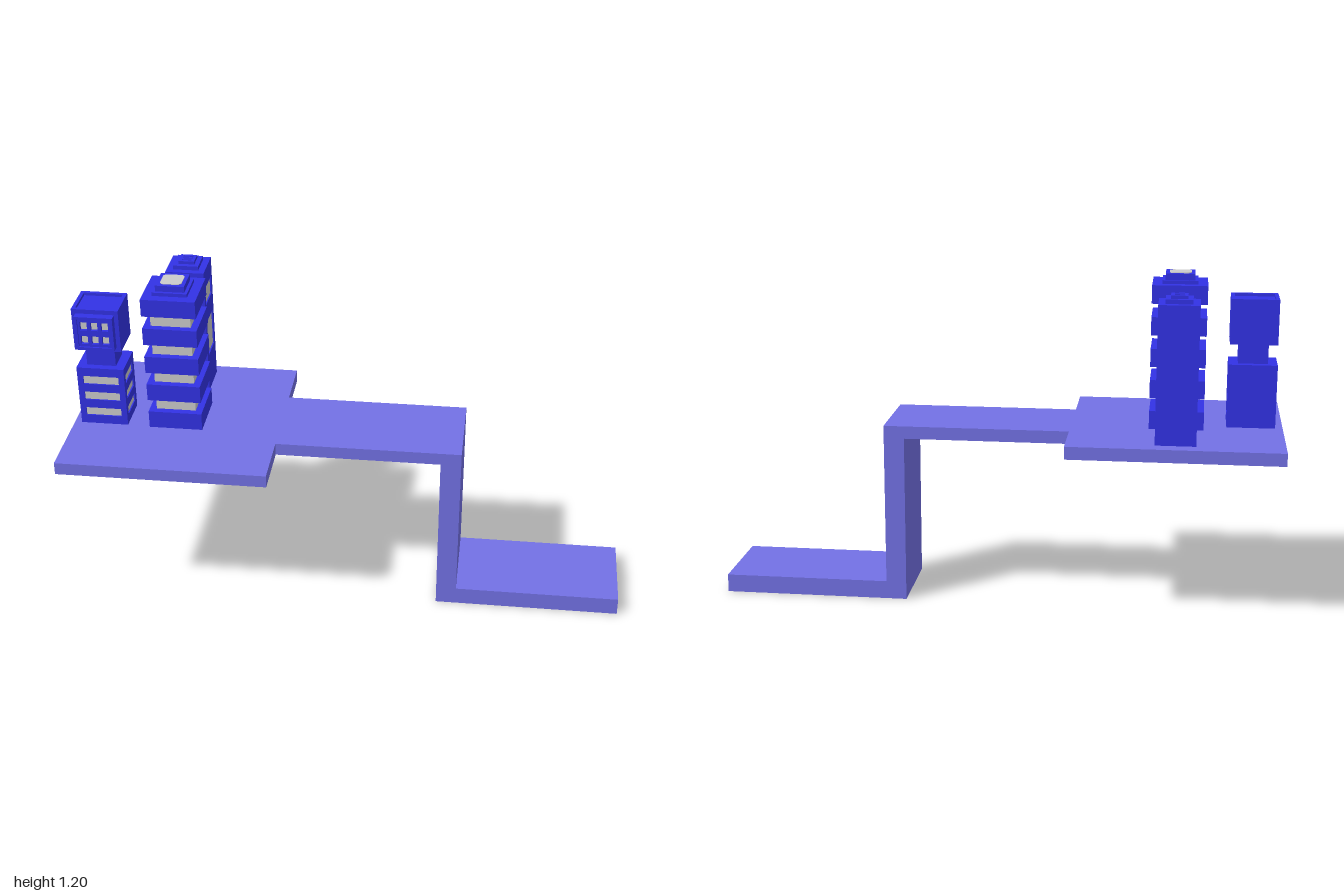
import * as THREE from 'three';

const paint = (color) => new THREE.MeshStandardMaterial({ color, flatShading: true });
const deckPaint = paint(0x7371e5);
const wallPaint = paint(0x3232e5);
const glassPaint = paint(0xcccccc);

function add(parent, name, geometry, material) {
  const mesh = new THREE.Mesh(geometry, material);
  mesh.name = name;
  parent.add(mesh);
  return mesh;
}

// Box given by its limits on each axis
function block(parent, name, [x0, x1], [y0, y1], [z0, z1], material = wallPaint) {
  const mesh = add(parent, name, new THREE.BoxGeometry(x1 - x0, y1 - y0, z1 - z0), material);
  mesh.position.set((x0 + x1) / 2, (y0 + y1) / 2, (z0 + z1) / 2);
  return mesh;
}

function rectPath(path, [u0, u1], [v0, v1]) {
  path.moveTo(u0, v0);
  path.lineTo(u1, v0);
  path.lineTo(u1, v1);
  path.lineTo(u0, v1);
  path.closePath();
  return path;
}

// Wall in the xy plane, pierced by openings [[u0,u1],[v0,v1]], extruded along +z
function piercedWall(parent, name, u, v, openings, depth) {
  const shape = rectPath(new THREE.Shape(), u, v);
  openings.forEach(([a, b]) => shape.holes.push(rectPath(new THREE.Path(), a, b)));
  const geometry = new THREE.ExtrudeGeometry(shape, { depth, bevelEnabled: false });
  return add(parent, name, geometry, wallPaint);
}

const span = (centre, half) => [centre - half, centre + half];

function walkway() {
  const group = new THREE.Group();
  group.name = 'walkway';
  block(group, 'platform', [-1, -0.255], [0.605, 0.65], [-0.373, 0.373], deckPaint);
  // Bridge, drop wall and lower landing as one stepped profile
  const points = [[-0.255, 0.605], [0.332, 0.605], [0.332, 0], [1, 0], [1, 0.065],
    [0.405, 0.065], [0.405, 0.65], [-0.255, 0.65]];
  const profile = new THREE.Shape(points.map(([x, y]) => new THREE.Vector2(x, y)));
  const step = add(group, 'steppedBridge',
    new THREE.ExtrudeGeometry(profile, { depth: 0.328, bevelEnabled: false }), deckPaint);
  step.position.z = -0.167;
  return group;
}

function bandedTower() {
  const group = new THREE.Group();
  group.name = 'bandedTower';
  const cx = -0.627, cz = 0.001;
  block(group, 'glassCore', span(cx, 0.071), [0.65, 1.12], span(cz, 0.071), glassPaint);
  for (let i = 0; i < 5; i++) {
    const y = 0.65 + i * 0.1115;
    block(group, 'floorBand', span(cx, 0.096), [y, y + 0.0645], span(cz, 0.096));
  }
  block(group, 'roofStep', span(cx, 0.062), [1.16, 1.173], span(cz, 0.062));
  block(group, 'roofCap', span(cx, 0.051), [1.173, 1.195], span(cz, 0.051));
  // Rounded skylight
  const s = new THREE.Shape(), h = 0.038, r = 0.016, k = h - r;
  s.absarc(k, k, r, 0, Math.PI / 2);
  s.absarc(-k, k, r, Math.PI / 2, Math.PI);
  s.absarc(-k, -k, r, Math.PI, Math.PI * 1.5);
  s.absarc(k, -k, r, Math.PI * 1.5, Math.PI * 2);
  const light = add(group, 'skylight',
    new THREE.ExtrudeGeometry(s, { depth: 0.003, bevelEnabled: false, curveSegments: 6 }), glassPaint);
  light.rotation.x = -Math.PI / 2;
  light.position.set(cx, 1.194, cz);
  return group;
}

function slabTower() {
  const group = new THREE.Group();
  group.name = 'slabTower';
  const cx = -0.628, cz = -0.257, inset = 0.008, right = cx + 0.07;
  block(group, 'body', [cx - 0.07, right - inset], [0.652, 1.132], span(cz, 0.07));
  // Windowed side wall, turned to face +x
  const openings = [[[-0.052, 0.052], [0.79, 0.928]], [[-0.052, 0.052], [0.998, 1.065]]];
  const wall = piercedWall(group, 'windowWall', [-0.07, 0.07], [0.652, 1.132], openings, inset);
  wall.rotation.y = Math.PI / 2;
  wall.position.set(right - inset, 0, cz);
  for (const [, v] of openings) {
    block(group, 'window', [right - inset, right - inset + 0.003], v, span(cz, 0.052), glassPaint);
  }
  block(group, 'roofStep', span(cx, 0.046), [1.132, 1.147], span(cz, 0.046));
  block(group, 'roofCap', span(cx, 0.029), [1.147, 1.158], span(cz, 0.029));
  for (const i of [-1, 0, 1]) {
    block(group, 'roofVent', span(cx, 0.017), [1.158, 1.161], span(cz + i * 0.015, 0.004));
  }
  return group;
}

function lookoutTower() {
  const group = new THREE.Group();
  group.name = 'lookoutTower';
  const cx = -0.888, cz = 0.024, half = 0.085, depthHalf = 0.071, inset = 0.008;
  const right = cx + half, front = cz + depthHalf;

  // Lower block with window strips on the front and the +x side
  const strips = [[0.685, 0.716], [0.749, 0.781], [0.813, 0.845]];
  const y = [0.652, 0.878];
  block(group, 'lowerBody', [cx - half, right - inset], y, [cz - depthHalf, front - inset]);
  const frontWall = piercedWall(group, 'frontWall', [-half, half], y,
    strips.map((v) => [[-0.064, 0.064], v]), inset);
  frontWall.position.set(cx, 0, front - inset);
  const sideWall = piercedWall(group, 'sideWall', [-depthHalf + inset, depthHalf], y,
    strips.map((v) => [[-0.05, 0.05], v]), inset);
  sideWall.rotation.y = Math.PI / 2;
  sideWall.position.set(right - inset, 0, cz);
  for (const v of strips) {
    block(group, 'frontWindow', span(cx, 0.064), v, [front - inset, front - inset + 0.003], glassPaint);
    block(group, 'sideWindow', [right - inset, right - inset + 0.003], v, span(cz, 0.05), glassPaint);
  }

  block(group, 'neck', span(cx, 0.052), [0.878, 0.95], span(cz, 0.045));

  // Head with a sunken roof inside a thin parapet
  block(group, 'head', span(cx, 0.083), [0.95, 1.1], span(cz, depthHalf));
  const parapet = piercedWall(group, 'parapet', [-0.083, 0.083], [-depthHalf, depthHalf],
    [[[-0.07, 0.07], [-0.058, 0.058]]], 0.01);
  parapet.rotation.x = -Math.PI / 2;
  parapet.position.set(cx, 1.1, cz);

  // Projecting window bay: outer frame, then a recessed six-pane grid
  const bay = [0.967, 1.094];
  const frame = piercedWall(group, 'bayFrame', [-0.068, 0.068], bay,
    [[[-0.058, 0.058], [0.977, 1.084]]], 0.028);
  frame.position.set(cx, 0, front);
  const panes = [];
  for (const i of [-1, 0, 1]) {
    for (const v of [[0.987, 1.018], [1.04, 1.072]]) panes.push([span(i * 0.0375, 0.0125), v]);
  }
  const grid = piercedWall(group, 'bayGrid', [-0.058, 0.058], [0.977, 1.084], panes, 0.012);
  grid.position.set(cx, 0, front + 0.01);
  block(group, 'bayGlass', span(cx, 0.058), [0.977, 1.084], [front, front + 0.01], glassPaint);
  return group;
}

export function createModel() {
  const model = new THREE.Group();
  model.name = 'towersOnSteppedWalkway';
  model.add(walkway(), bandedTower(), slabTower(), lookoutTower());
  return model;
}
